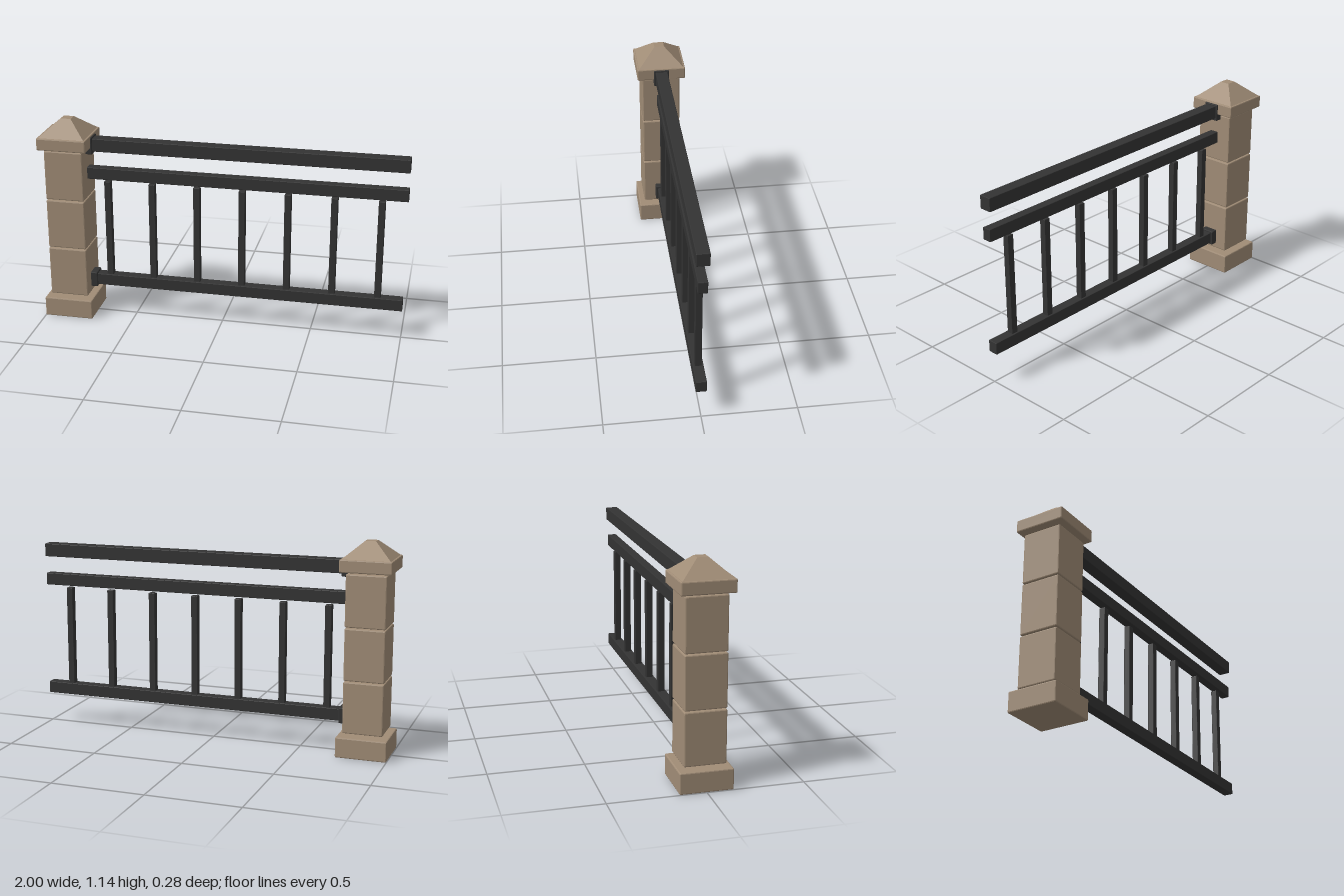
import * as THREE from 'three';
import { RoundedBoxGeometry } from 'three/addons/geometries/RoundedBoxGeometry.js';

export function createModel() {
  const model = new THREE.Group();
  model.name = 'railingWithPillar';
  const stone = new THREE.MeshStandardMaterial({ color: 0xa08c76, flatShading: true });
  const metal = new THREE.MeshStandardMaterial({ color: 0x333333, flatShading: true });
  const postX = -0.8625;

  // Chamfered box given by its extents in x and y and its half depth in z
  function block(name, material, x0, x1, y0, y1, halfZ, bevel, parent = model) {
    const geometry = new RoundedBoxGeometry(x1 - x0, y1 - y0, halfZ * 2, 1, bevel);
    const mesh = new THREE.Mesh(geometry, material);
    mesh.position.set((x0 + x1) / 2, (y0 + y1) / 2, 0);
    mesh.name = name;
    parent.add(mesh);
    return mesh;
  }

  // Stone pillar: plinth, three stacked blocks and cap
  const pillar = new THREE.Group();
  pillar.name = 'pillar';
  model.add(pillar);
  const stoneBlock = (name, half, y0, y1) =>
    block(name, stone, postX - half, postX + half, y0, y1, half, 0.006, pillar);
  stoneBlock('plinth', 0.1375, 0, 0.111);
  for (let i = 0; i < 3; i++) {
    const y = 0.128 + i * 0.285;
    stoneBlock('pillarBlock' + (i + 1), 0.108, y, y + 0.279);
  }
  stoneBlock('capSlab', 0.1375, 0.988, 1.056);

  // Truncated pyramid on the cap
  const pyramid = new THREE.CylinderGeometry(0.028 * Math.SQRT2, 0.13 * Math.SQRT2, 0.089, 4);
  pyramid.rotateY(Math.PI / 4);
  const capTop = new THREE.Mesh(pyramid, stone);
  capTop.name = 'capPyramid';
  capTop.position.set(postX, 1.0985, 0);
  pillar.add(capTop);

  // Horizontal rails
  block('handrail', metal, -0.76, 1, 0.967, 1.04, 0.034, 0.003);
  block('upperRail', metal, -0.757, 1, 0.804, 0.871, 0.025, 0.003);
  block('lowerRail', metal, -0.757, 1, 0.17, 0.236, 0.028, 0.003);

  // Sockets fixing the rails to the pillar
  block('handrailSocket', metal, -0.768, -0.717, 0.952, 1.048, 0.043, 0.004);
  block('lowerRailSocket', metal, -0.757, -0.717, 0.16, 0.246, 0.04, 0.004);

  // Balusters
  const balusters = new THREE.Group();
  balusters.name = 'balusters';
  model.add(balusters);
  for (let i = 0; i < 7; i++) {
    const x = -0.645 + i * 0.2512;
    block('baluster' + (i + 1), metal, x - 0.018, x + 0.018, 0.225, 0.792, 0.018, 0.003, balusters);
  }

  return model;
}
